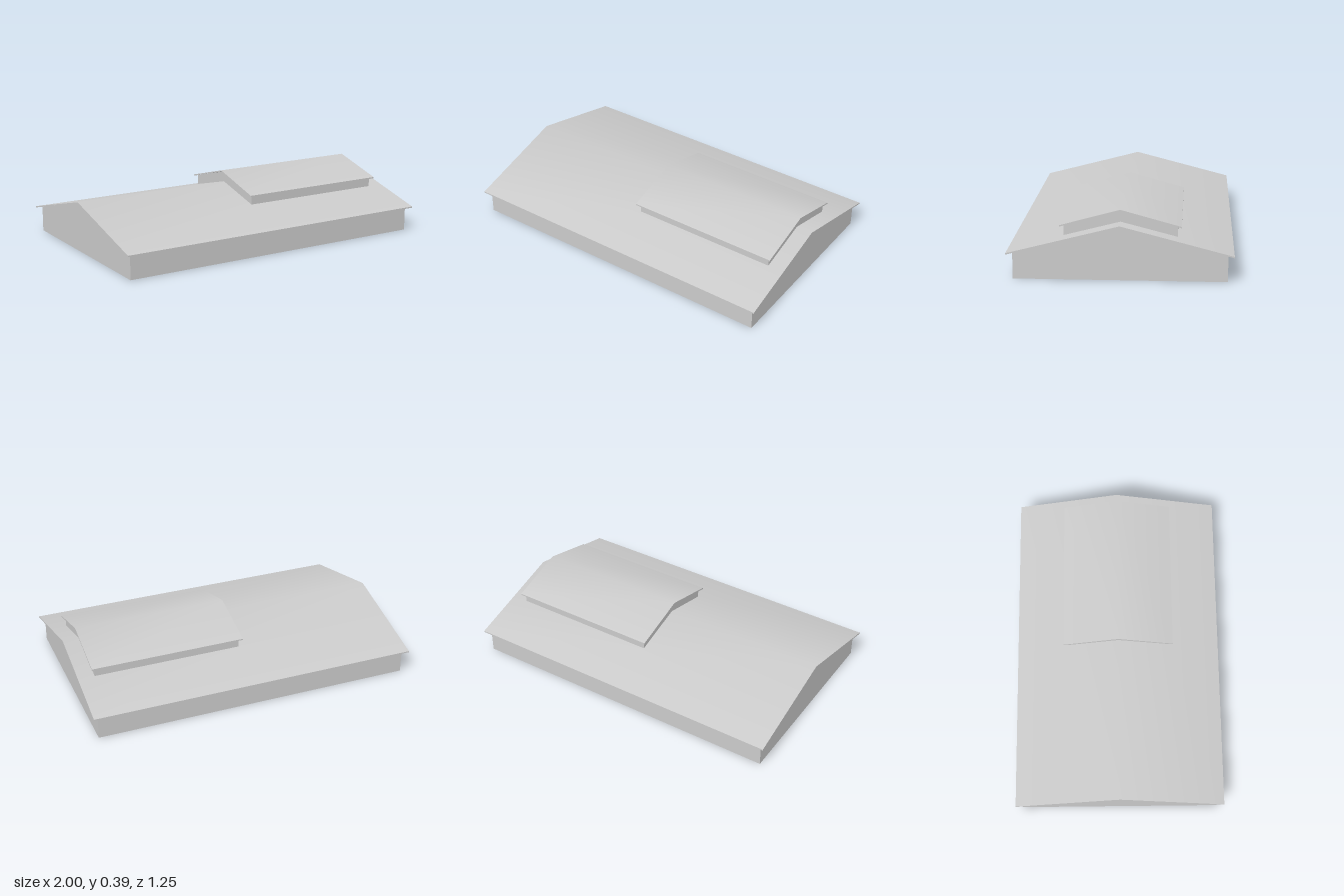
import * as THREE from 'three';
import { toCreasedNormals } from 'three/addons/utils/BufferGeometryUtils.js';

const material = new THREE.MeshStandardMaterial({ color: 0xcccccc, side: THREE.DoubleSide });

// Extrudes a [z, y] outline along x from x0 to x1; the shallow ridge stays smooth
function prism(name, points, x0, x1) {
  const shape = new THREE.Shape(points.map(([z, y]) => new THREE.Vector2(z, y)));
  const geometry = new THREE.ExtrudeGeometry(shape, { depth: x1 - x0, bevelEnabled: false });
  geometry.rotateY(Math.PI / 2).translate(x0, 0, 0);
  const mesh = new THREE.Mesh(toCreasedNormals(geometry, 0.6), material);
  mesh.name = name;
  return mesh;
}

// Walls with gable ends
function gableWalls(name, halfWidth, base, eave, ridge, x0, x1) {
  return prism(name, [
    [-halfWidth, base], [halfWidth, base], [halfWidth, eave], [0, ridge], [-halfWidth, eave],
  ], x0, x1);
}

// Thin chevron roof sheet of constant vertical thickness
function gableRoof(name, halfWidth, eave, ridge, thickness, x0, x1) {
  return prism(name, [
    [-halfWidth, eave - thickness], [0, ridge - thickness], [halfWidth, eave - thickness],
    [halfWidth, eave], [0, ridge], [-halfWidth, eave],
  ], x0, x1);
}

export function createModel() {
  const model = new THREE.Group();
  model.name = 'gabledHall';

  // Main hall
  model.add(
    gableWalls('hallWalls', 0.593, 0, 0.152, 0.306, -0.97, 0.97),
    gableRoof('hallRoof', 0.627, 0.153, 0.315, 0.008, -1, 1),
  );

  // Raised roof section towards the left end
  const monitor = new THREE.Group();
  monitor.name = 'raisedRoofSection';
  monitor.add(
    gableWalls('raisedWalls', 0.315, 0.22, 0.292, 0.378, 0, 0.9),
    gableRoof('raisedRoof', 0.337, 0.295, 0.387, 0.008, -0.02, 0.92),
  );
  model.add(monitor);

  return model;
}
